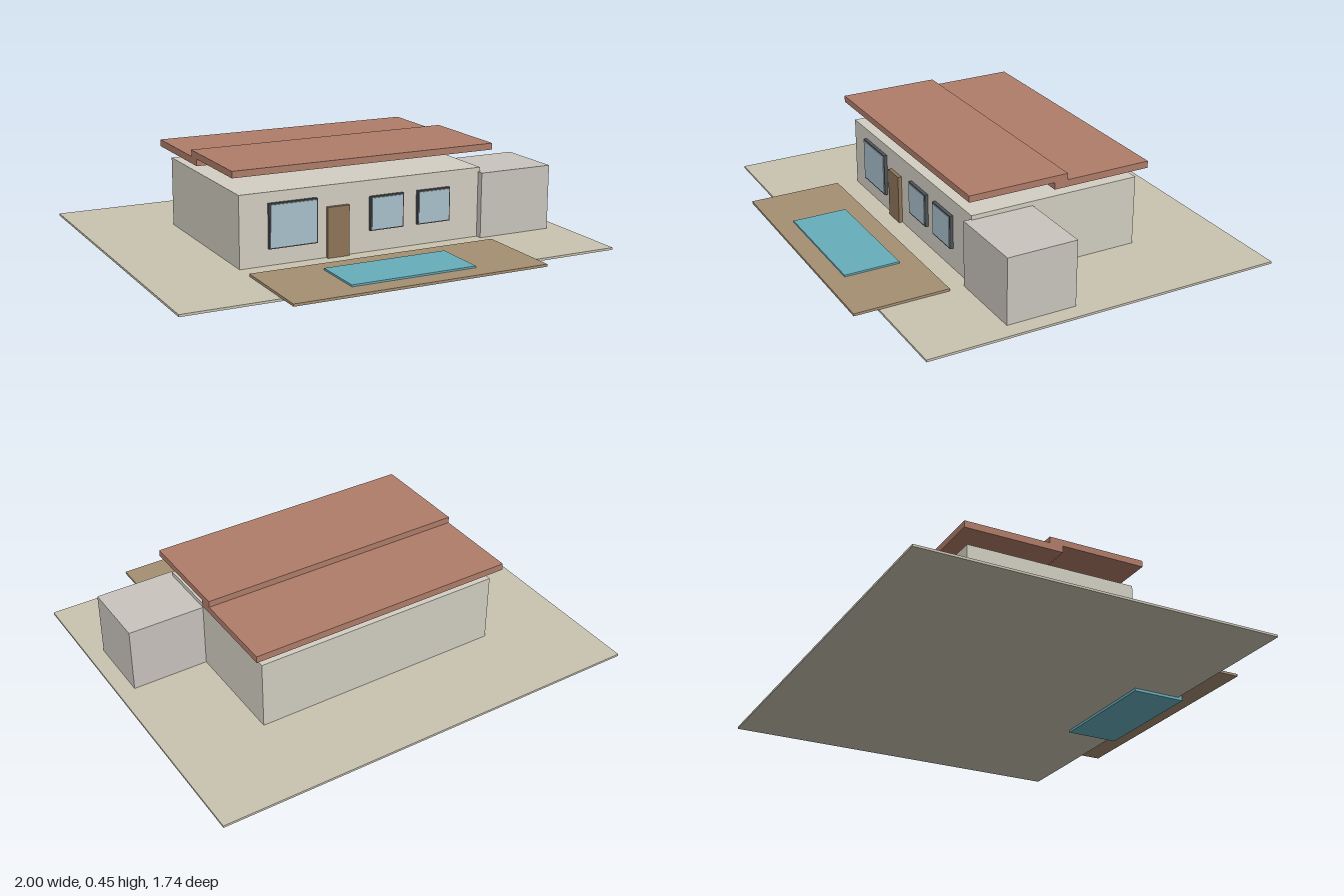
import * as THREE from 'three';

const material = (color) => new THREE.MeshStandardMaterial({ color });

export function createModel() {
  const house = new THREE.Group();
  house.name = 'house';

  const mats = {
    ground: material(0xc9c3b1), wall: material(0xd3cfc3), annex: material(0xcac5be),
    roof: material(0xb07d6a), deck: material(0xa58f72), pool: material(0x67aebc),
    glass: material(0xa9c1cc), frame: material(0x505458), door: material(0x8f7558),
    panel: material(0x2c3038),
  };

  // Box given by its extents along each axis
  const box = (name, mat, [x0, x1], [y0, y1], [z0, z1], parent = house) => {
    const mesh = new THREE.Mesh(new THREE.BoxGeometry(x1 - x0, y1 - y0, z1 - z0), mats[mat]);
    mesh.position.set((x0 + x1) / 2, (y0 + y1) / 2, (z0 + z1) / 2);
    mesh.name = name;
    parent.add(mesh);
    return mesh;
  };

  // Plot, deck and pool
  box('ground', 'ground', [-1, 1], [0.012, 0.022], [-0.87, 0.76]);
  box('deck', 'deck', [-0.58, 0.58], [0.023, 0.034], [0.445, 0.87]);
  box('pool', 'pool', [-0.286, 0.286], [0, 0.042], [0.532, 0.782]);

  // Main volume and side annex
  box('mainWalls', 'wall', [-0.58, 0.576], [0.022, 0.338], [-0.447, 0.343]);
  box('annex', 'annex', [0.567, 0.925], [0.022, 0.318], [0.058, 0.374]);

  // Two overlapping flat roof slabs
  box('upperRoof', 'roof', [-0.62, 0.616], [0.42, 0.449], [-0.083, 0.374]);
  box('lowerRoof', 'roof', [-0.62, 0.616], [0.389, 0.42], [-0.479, -0.021]);

  // Row of thin panels set into the lower slab, just showing underneath
  for (const x of [-0.255, -0.098, 0.06, 0.217]) {
    box('roofPanel', 'panel', [x - 0.069, x + 0.069], [0.385, 0.395], [-0.275, -0.04]);
  }

  // Door
  box('door', 'door', [-0.182, -0.08], [0.022, 0.245], [0.34, 0.36]);

  // Framed windows
  const windows = [
    [[-0.451, -0.229], [0.096, 0.291]],
    [[0.022, 0.183], [0.117, 0.268]],
    [[0.253, 0.415], [0.117, 0.268]],
  ];
  const border = 0.006;
  for (const [x, y] of windows) {
    const group = new THREE.Group();
    group.name = 'window';
    house.add(group);
    const inset = ([a, b]) => [a + border, b - border];
    box('windowFrame', 'frame', x, y, [0.34, 0.358], group);
    box('windowGlass', 'glass', inset(x), inset(y), [0.345, 0.361], group);
  }

  return house;
}
